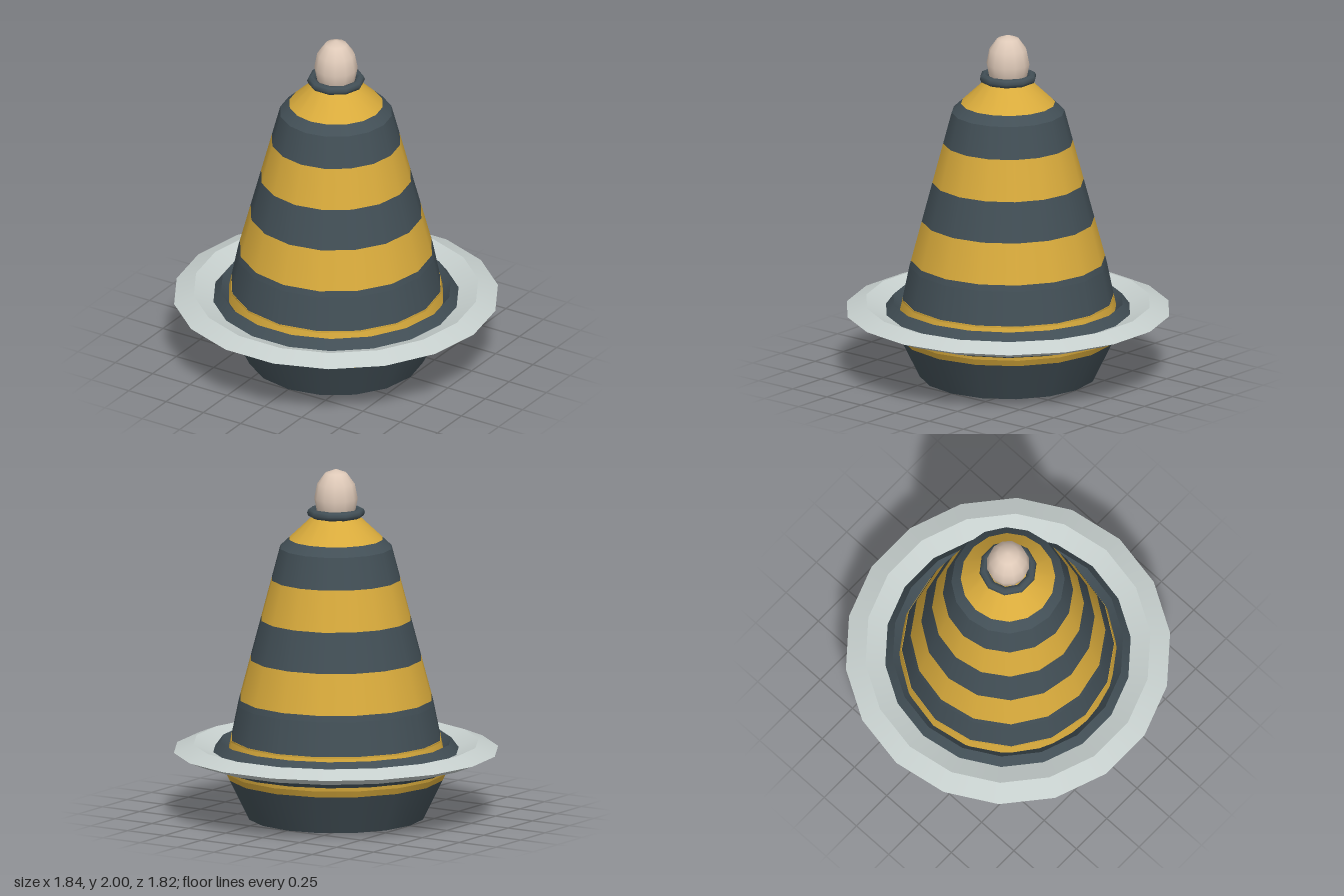
import * as THREE from 'three';
import { mergeGeometries } from 'three/addons/utils/BufferGeometryUtils.js';

const mat = (name, color) => {
  const m = new THREE.MeshStandardMaterial({ color });
  m.name = name;
  return m;
};

// Revolve a profile with sharp edges between its segments, smooth around the axis
function turned(profile, sides) {
  const bands = [];
  for (let i = 0; i < profile.length - 1; i++) {
    const pair = [profile[i], profile[i + 1]].map(([r, y]) => new THREE.Vector2(r, y));
    bands.push(new THREE.LatheGeometry(pair, sides, Math.PI / 2));
  }
  return mergeGeometries(bands);
}

// Closed diamond cross-section: radius, half width, height, half height
const diamond = (r, w, y, h) => [[r, y - h], [r + w, y], [r, y + h], [r - w, y], [r, y - h]];

export function createModel() {
  const model = new THREE.Group();
  model.name = 'buoy';
  const dark = mat('slate', 0x424f56);
  const yellow = mat('yellow', 0xd9ab3c);
  const pale = mat('paleGrey', 0xc6cfcd);
  const cream = mat('cream', 0xdec9b8);

  const add = (name, geometry, material) => {
    const mesh = new THREE.Mesh(geometry, material);
    mesh.name = name;
    model.add(mesh);
    return mesh;
  };

  // Hull and tower, cut into equal stripes
  const profile = [[0.5, 0], [0.63, 0.265], [0.635, 0.3], [0.6, 0.455], [0.56, 0.65], [0.32, 1.55], [0.13, 1.73]];
  const radiusAt = (y) => {
    const i = Math.max(1, profile.findIndex((p) => p[1] >= y));
    const [r0, y0] = profile[i - 1], [r1, y1] = profile[i];
    return r0 + ((r1 - r0) * (y - y0)) / (y1 - y0);
  };
  const cuts = [0, 0.228, 0.45, 0.685, 0.914, 1.14, 1.37, 1.6, 1.73];
  for (let i = 0; i < cuts.length - 1; i++) {
    const [lo, hi] = [cuts[i], cuts[i + 1]];
    const inner = profile.filter(([, y]) => y > lo + 1e-4 && y < hi - 1e-4);
    const points = [[radiusAt(lo), lo], ...inner, [radiusAt(hi), hi]];
    add(`bodyStripe${i + 1}`, turned(points, 16), i % 2 ? yellow : dark);
  }

  // Closing discs
  add('bottomDisc', turned([[0, 0], [0.5, 0]], 16), yellow);
  add('topDisc', turned([[0.13, 1.73], [0, 1.73]], 16), yellow);

  // Thin yellow line at the foot of the tower
  add('footLine', turned([[0.602, 0.447], [0.602, 0.457], [0.595, 0.457]], 16), yellow);

  // Fender band and wide float ring
  add('fenderBand', turned(diamond(0.655, 0.055, 0.365, 0.075), 18), dark);
  add('floatRing', turned(diamond(0.81, 0.112, 0.385, 0.045), 18), pale);

  // Collar and lamp
  const collar = add('collar', new THREE.TorusGeometry(0.138, 0.026, 8, 10).rotateX(Math.PI / 2), dark);
  collar.position.y = 1.75;
  const lamp = add('lamp', new THREE.SphereGeometry(1, 12, 6).scale(0.123, 0.17, 0.123), cream);
  lamp.position.y = 1.83;

  return model;
}
